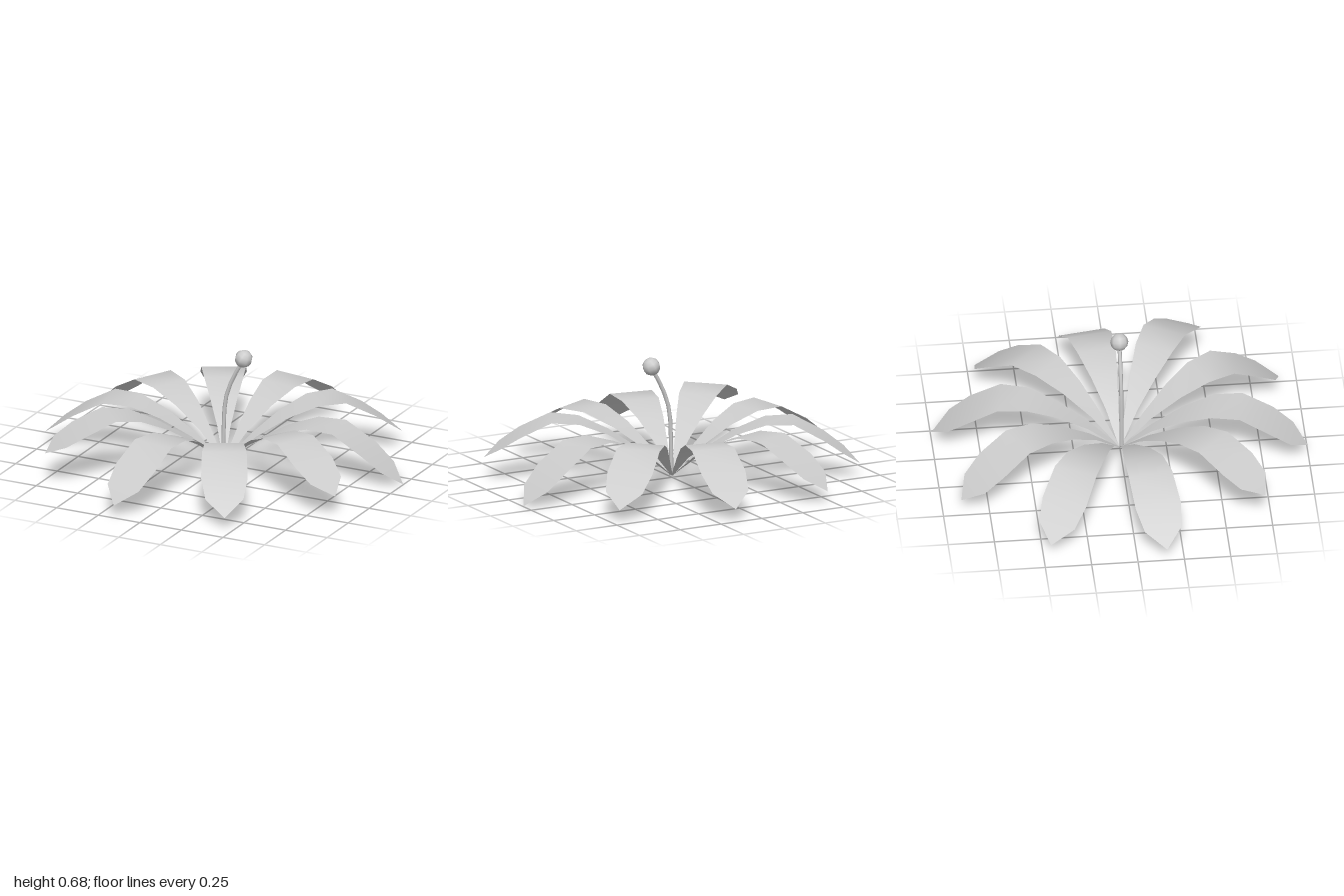
import * as THREE from 'three';

const material = new THREE.MeshStandardMaterial({ color: 0xcccccc, side: THREE.DoubleSide });

// Petal cross-sections from base to tip: [distance from centre, height, half width]
const SECTIONS = [
  [0, 0.01, 0.004],
  [0.17, 0.15, 0.035],
  [0.34, 0.25, 0.073],
  [0.5, 0.31, 0.105],
  [0.65, 0.315, 0.12],
  [0.815, 0.225, 0.125],
  [0.925, 0.145, 0.102],
  [1.01, 0.07, 0],
];

// One drooping petal along +x; lift raises or lowers it towards the tip
function petalGeometry(lift) {
  const positions = [];
  const index = [];
  SECTIONS.forEach(([r, y, w], i) => {
    const h = y + lift * r * r;
    positions.push(r, h, -w, r, h, w);
    if (i > 0) {
      const a = 2 * (i - 1);
      index.push(a, a + 1, a + 2);
      if (w > 0) index.push(a + 1, a + 3, a + 2);
    }
  });
  const geometry = new THREE.BufferGeometry();
  geometry.setAttribute('position', new THREE.Float32BufferAttribute(positions, 3));
  geometry.setIndex(index);
  geometry.computeVertexNormals();
  return geometry;
}

export function createModel() {
  const model = new THREE.Group();
  model.name = 'flower';

  // Ring of ten petals, three of them bent differently
  const petals = new THREE.Group();
  petals.name = 'petals';
  const lifts = { 0: -0.068, 6: 0.108, 9: 0.05 };
  for (let i = 0; i < 10; i++) {
    const petal = new THREE.Mesh(petalGeometry(lifts[i] ?? 0), material);
    petal.name = 'petal';
    petal.rotation.y = THREE.MathUtils.degToRad(9 + 36 * i);
    petals.add(petal);
  }
  model.add(petals);

  // Curved pistil leaning to one side
  const curve = new THREE.CatmullRomCurve3([
    [0, 0.01], [0.002, 0.2], [0.014, 0.38], [0.055, 0.5], [0.115, 0.61],
  ].map(([x, y]) => new THREE.Vector3(x, y, 0.008)));
  const pistil = new THREE.Mesh(new THREE.TubeGeometry(curve, 8, 0.011, 6), material);
  pistil.name = 'pistil';
  model.add(pistil);

  // Faceted ball at the end of the pistil
  const stigma = new THREE.Mesh(new THREE.SphereGeometry(0.049, 8, 6), material);
  stigma.name = 'stigma';
  stigma.position.set(0.122, 0.628, 0.008);
  stigma.rotation.z = -0.45;
  model.add(stigma);

  return model;
}
